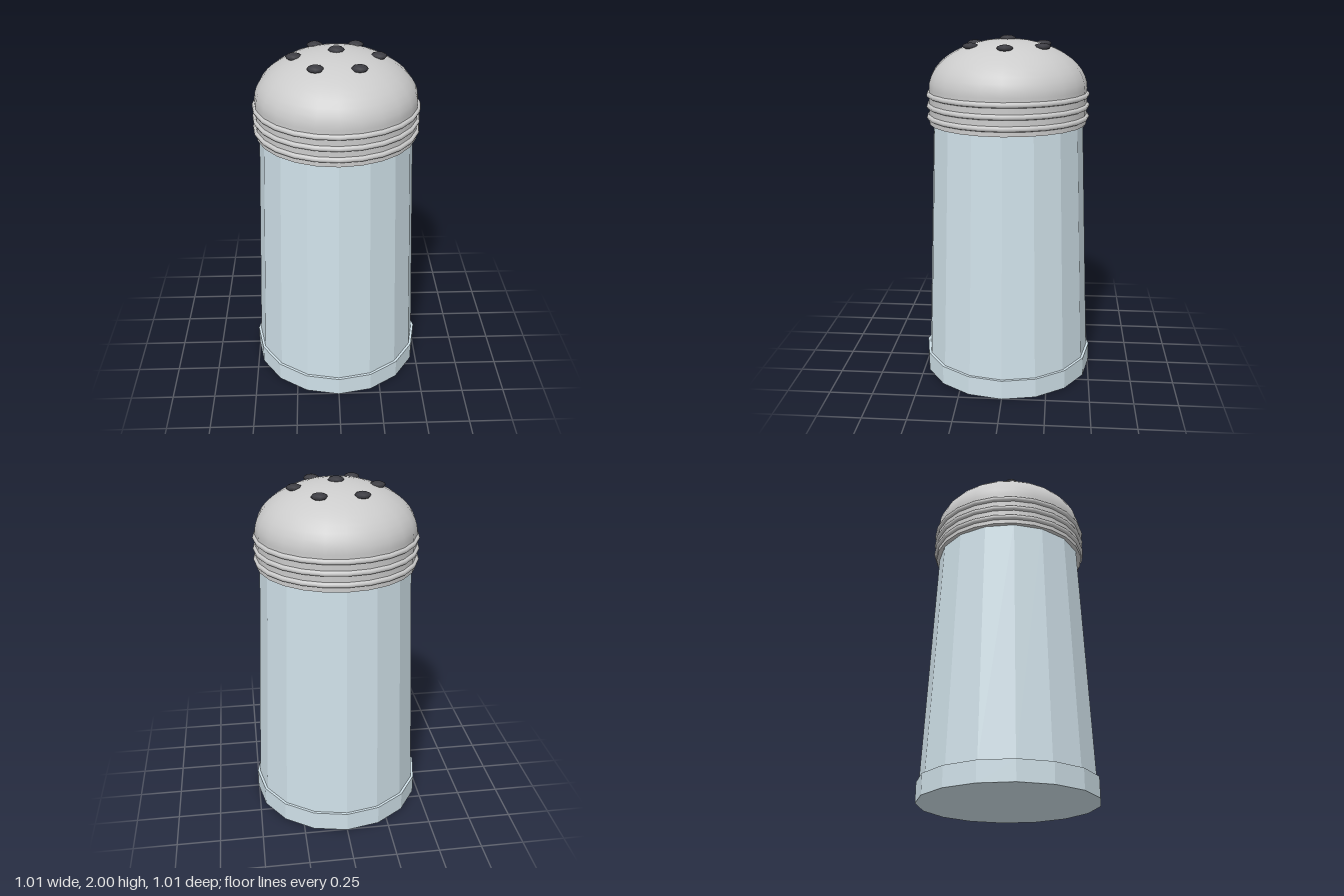
import * as THREE from 'three';

export function createModel() {
  const shaker = new THREE.Group();
  const glass = new THREE.MeshStandardMaterial({ color: 0xcfe0e8, flatShading: true });
  const metal = new THREE.MeshStandardMaterial({ color: 0xdcdcde });
  const dark = new THREE.MeshStandardMaterial({ color: 0x3c3c42 });

  const add = (name, geometry, material, x = 0, y = 0, z = 0) => {
    const mesh = new THREE.Mesh(geometry, material);
    mesh.name = name;
    mesh.position.set(x, y, z);
    shaker.add(mesh);
    return mesh;
  };

  // Faceted foot and tapered body
  add('foot', new THREE.CylinderGeometry(0.505, 0.505, 0.115, 16), glass, 0, 0.0575);
  add('body', new THREE.CylinderGeometry(0.43, 0.49, 1.42, 16), glass, 0, 0.82);

  // Screw cap: collar, three ridges and a flattened dome
  add('capCollar', new THREE.CylinderGeometry(0.45, 0.45, 0.2, 24), metal, 0, 1.61);
  for (const y of [1.55, 1.612, 1.675]) {
    add('capRidge', new THREE.TorusGeometry(0.45, 0.015, 8, 24).rotateX(Math.PI / 2), metal, 0, y);
  }
  const domeHeight = 0.27, domeBase = 1.71, domeRadius = 0.45;
  const dome = new THREE.SphereGeometry(domeRadius, 24, 12, 0, Math.PI * 2, 0, Math.PI / 2);
  dome.scale(1, domeHeight / domeRadius, 1);
  add('capDome', dome, metal, 0, domeBase);

  // Pouring holes: one in the middle and a ring of six on the dome
  const hole = new THREE.SphereGeometry(0.045, 8, 6).scale(1, 0.42, 1);
  const ring = 0.228;
  const ringY = domeBase + domeHeight * Math.sqrt(1 - (ring / domeRadius) ** 2) + 0.003;
  add('pouringHole', hole, dark, 0, 1.981, 0);
  for (let i = 0; i < 6; i++) {
    const a = (i * Math.PI) / 3;
    add('pouringHole', hole, dark, ring * Math.cos(a), ringY, ring * Math.sin(a));
  }
  return shaker;
}
